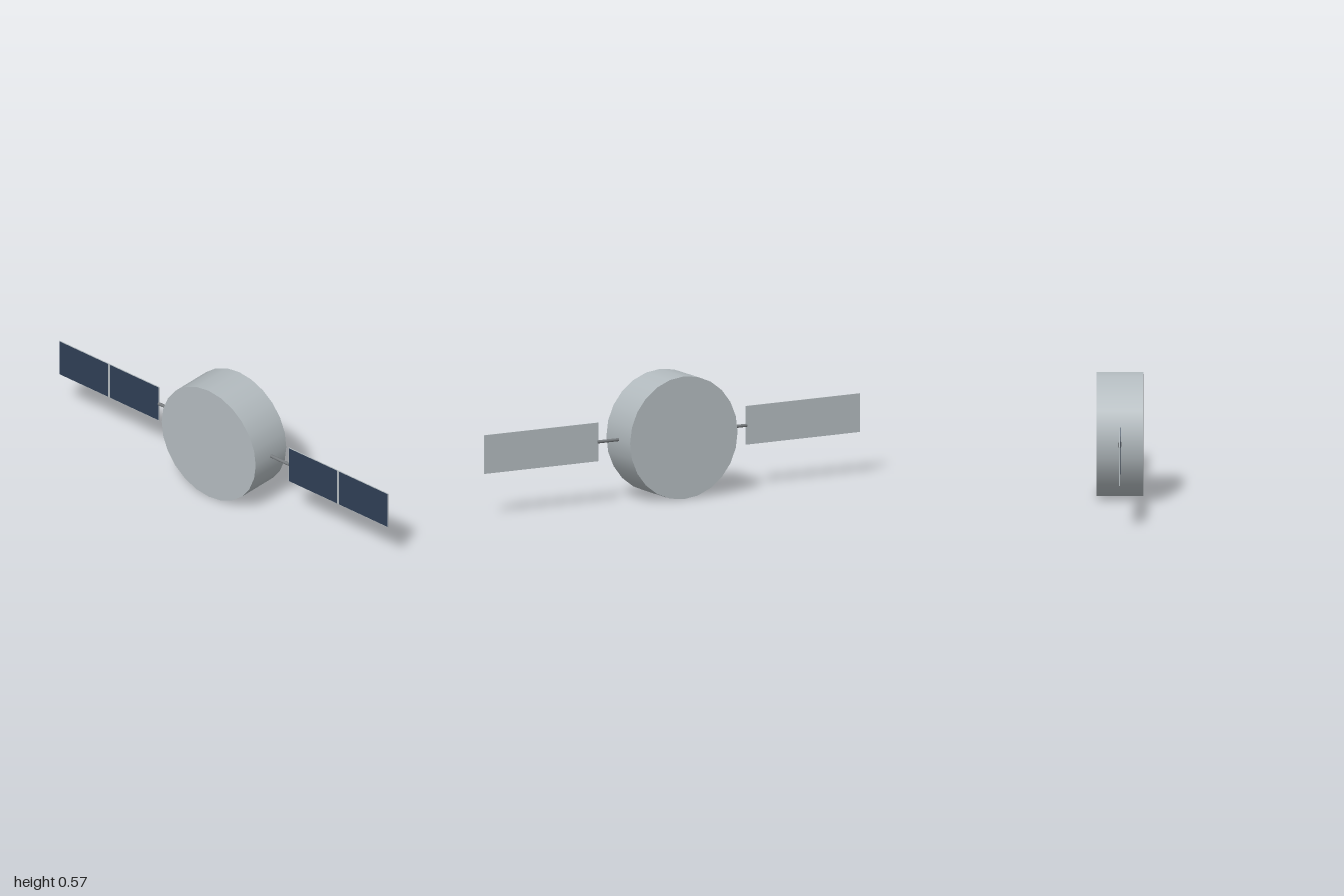
import * as THREE from 'three';

export function createModel() {
  const model = new THREE.Group();
  model.name = 'satellite';
  const hull = new THREE.MeshStandardMaterial({ name: 'hull grey', color: 0xb2babe });
  const strut = new THREE.MeshStandardMaterial({ name: 'strut grey', color: 0x777b7e });
  const navy = new THREE.MeshStandardMaterial({ name: 'solar navy', color: 0x2f3e55 });

  const R = 0.286;

  const add = (parent, name, geometry, material, x, y, z) => {
    const mesh = new THREE.Mesh(geometry, material);
    mesh.name = name;
    mesh.position.set(x, y, z);
    parent.add(mesh);
    return mesh;
  };

  // Drum body, axis along z
  add(model, 'body', new THREE.CylinderGeometry(R, R, 0.213, 24).rotateX(Math.PI / 2), hull, 0, R, 0);

  // One wing per side: boom, backing panel and two cells on the front face
  for (const [side, label] of [[1, 'left'], [-1, 'right']]) {
    const wing = new THREE.Group();
    wing.name = label + 'Wing';
    model.add(wing);
    add(wing, 'boom', new THREE.CylinderGeometry(0.0075, 0.0075, 0.13, 12).rotateZ(Math.PI / 2), strut, side * 0.332, R + 0.002, 0);
    add(wing, 'panel', new THREE.BoxGeometry(0.607, 0.18, 0.004), hull, side * 0.6965, R + 0.002, 0);
    for (const offset of [-1, 1]) {
      add(wing, 'solarCell', new THREE.BoxGeometry(0.293, 0.176, 0.002), navy,
        side * 0.6965 + offset * 0.1535, R + 0.002, 0.002);
    }
  }
  return model;
}
